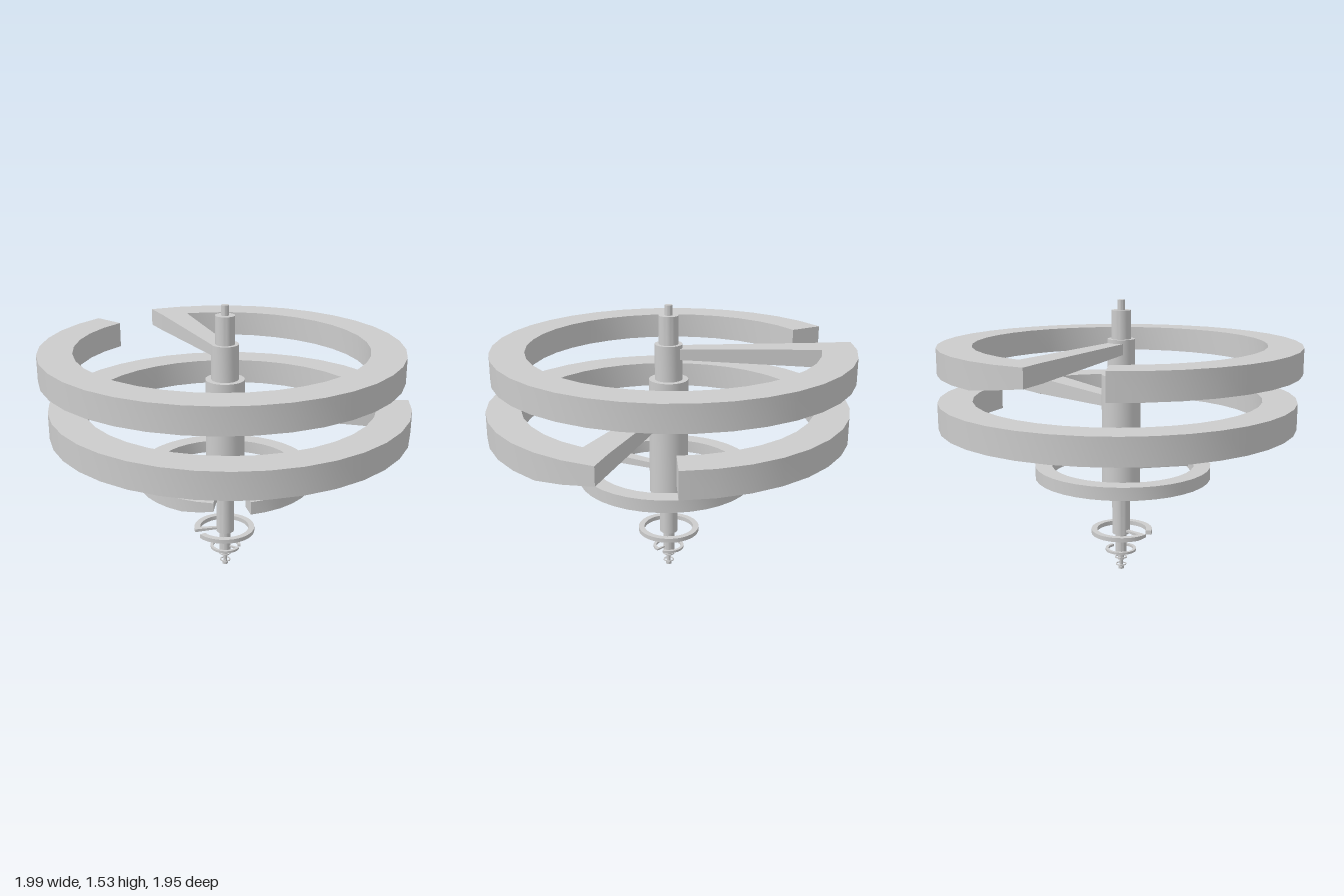
import * as THREE from 'three';
import { toCreasedNormals } from 'three/addons/utils/BufferGeometryUtils.js';

const DEG = Math.PI / 180;
const material = new THREE.MeshStandardMaterial({ color: 0xcccccc });

function makeMesh(geometry, name) {
  const mesh = new THREE.Mesh(toCreasedNormals(geometry, 0.5), material);
  mesh.name = name;
  return mesh;
}

// Capped solid through a row of four-cornered cross-sections
function loft(sections) {
  const pos = [];
  const quad = (a, b, c, d) => pos.push(...a, ...b, ...c, ...a, ...c, ...d);
  for (let i = 0; i < sections.length - 1; i++) {
    const s = sections[i], n = sections[i + 1];
    for (let j = 0; j < 4; j++) {
      const k = (j + 1) % 4;
      quad(s[j], s[k], n[k], n[j]);
    }
  }
  const first = sections[0], last = sections[sections.length - 1];
  quad(first[3], first[2], first[1], first[0]);
  quad(...last);
  const geometry = new THREE.BufferGeometry();
  geometry.setAttribute('position', new THREE.Float32BufferAttribute(pos, 3));
  return geometry;
}

// Open eccentric ring with a tapered start, joined to the shaft by an arm
function splitRing({ name, radius, bottom, top, start }) {
  const group = new THREE.Group();
  group.name = name;
  const inner = radius * 0.81, height = top - bottom;
  const gap = (start - 11) * DEG, shift = radius * 0.027;
  // Distance from the shaft to a circle shifted towards the gap
  const reach = (r, t) => {
    const c = Math.cos(t - gap), s = Math.sin(t - gap);
    return shift * c + Math.sqrt(r * r - shift * shift * s * s);
  };
  const point = (r, t, y) => [r * Math.cos(t), y, r * Math.sin(t)];

  const sections = [], steps = 34;
  for (let i = 0; i <= steps; i++) {
    const t = (start + 338 * i / steps) * DEG;
    const low = bottom + 0.3 * height * Math.max(0, 1 - i / 2);
    const ro = reach(radius, t), ri = reach(inner, t);
    sections.push([point(ro, t, top), point(ri, t, top), point(ri, t, low), point(ro, t, low)]);
  }
  group.add(makeMesh(loft(sections), name + 'Band'));

  // Arm: narrow and thin at the shaft, wider and deeper at the ring
  const a = start * DEG, b = (start + 10.5) * DEG, half = 0.045 * radius;
  const side = (sign, y) => [sign * half * Math.sin(a), y, -sign * half * Math.cos(a)];
  const hubLow = top - 0.4 * height, tipLow = top - 0.7 * height;
  const ra = reach(inner, a) + 0.03 * radius, rb = reach(inner, b) + 0.005 * radius;
  group.add(makeMesh(loft([
    [side(1, top), side(-1, top), side(-1, hubLow), side(1, hubLow)],
    [point(ra, a, top), point(rb, b, top), point(rb, b, tipLow), point(ra, a, tipLow)],
  ]), name + 'Arm'));
  return group;
}

export function createModel() {
  const model = new THREE.Group();
  model.name = 'nestedRingSpindle';
  const body = new THREE.Group();
  body.name = 'spindle';
  body.position.set(-0.003, 0, 0.016);
  model.add(body);

  // Stepped shaft: radius and top height of each step, from the bottom up
  const steps = [
    [0.016, 0.015], [0.01, 0.055], [0.018, 0.09], [0.032, 0.215],
    [0.05, 0.47], [0.107, 1.125], [0.075, 1.32], [0.053, 1.475], [0.021, 1.53],
  ];
  const profile = [new THREE.Vector2(0, 0)];
  let y = 0;
  for (const [r, up] of steps) {
    profile.push(new THREE.Vector2(r, y), new THREE.Vector2(r, up));
    y = up;
  }
  profile.push(new THREE.Vector2(0, y));
  body.add(makeMesh(new THREE.LatheGeometry(profile, 32), 'shaft'));

  // Rings from the top down
  const rings = [
    { name: 'upperRing', radius: 0.976, bottom: 1.16, top: 1.3, start: 218 },
    { name: 'lowerRing', radius: 0.976, bottom: 0.855, top: 0.998, start: -26 },
    { name: 'middleRing', radius: 0.489, bottom: 0.55, top: 0.62, start: 72 },
    { name: 'smallRing', radius: 0.172, bottom: 0.217, top: 0.241, start: 140 },
    { name: 'smallerRing', radius: 0.087, bottom: 0.11, top: 0.123, start: 0 },
    { name: 'tinyRing', radius: 0.034, bottom: 0.067, top: 0.073, start: 200 },
    { name: 'tiniestRing', radius: 0.03, bottom: 0.024, top: 0.029, start: 60 },
  ];
  for (const ring of rings) body.add(splitRing(ring));
  return model;
}
